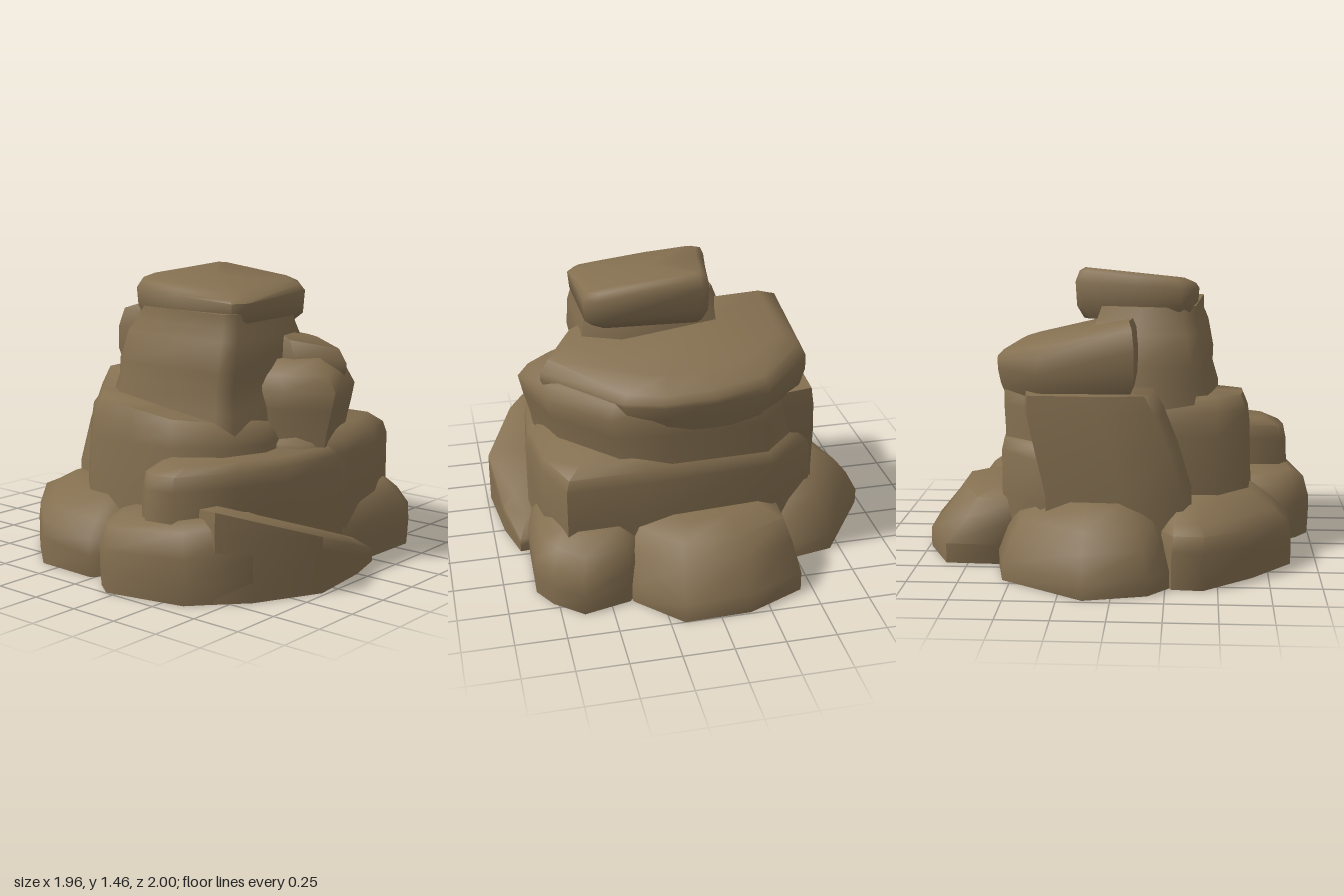
import * as THREE from 'three';
import { toCreasedNormals } from 'three/addons/utils/BufferGeometryUtils.js';

const stone = new THREE.MeshStandardMaterial({ color: 0x846f50 });
stone.name = 'brown stone';

// Boulder lofted from an [x, z] outline.
// Each ring: [y, scale, shiftX, shiftZ, slopeX, slopeZ], from bottom to top.
function boulder(name, outline, rings, crease = 1.1) {
  const n = outline.length;
  let area = 0, cx = 0, cz = 0;
  outline.forEach(([x, z], i) => {
    const [u, v] = outline[(i + 1) % n];
    area += x * v - u * z;
    cx += x / n;
    cz += z / n;
  });
  const pts = area > 0 ? [...outline].reverse() : outline;
  const pos = [], idx = [];
  for (const [y, s, dx = 0, dz = 0, tx = 0, tz = 0] of rings) {
    for (const [px, pz] of pts) {
      const x = cx + (px - cx) * s + dx, z = cz + (pz - cz) * s + dz;
      pos.push(x, Math.max(0, y + tx * x + tz * z), z);
    }
  }
  for (let r = 0; r < rings.length - 1; r++) {
    for (let i = 0; i < n; i++) {
      const a = r * n + i, b = r * n + (i + 1) % n;
      idx.push(a, b, b + n, a, b + n, a + n);
    }
  }
  // end caps
  for (const r of [0, rings.length - 1]) {
    const [y, , dx = 0, dz = 0, tx = 0, tz = 0] = rings[r];
    const c = pos.length / 3, x = cx + dx, z = cz + dz;
    pos.push(x, Math.max(0, y + tx * x + tz * z), z);
    for (let i = 0; i < n; i++) {
      const a = r * n + i, b = r * n + (i + 1) % n;
      if (r === 0) idx.push(c, b, a); else idx.push(c, a, b);
    }
  }
  const geo = new THREE.BufferGeometry();
  geo.setAttribute('position', new THREE.Float32BufferAttribute(pos, 3));
  geo.setIndex(idx);
  const mesh = new THREE.Mesh(toCreasedNormals(geo, crease), stone);
  mesh.name = name;
  return mesh;
}

export function createModel() {
  const g = new THREE.Group();
  g.name = 'rockStack';

  // tilted cap stone
  g.add(boulder('capStone',
    [[-0.12, -0.2], [-0.08, -0.23], [0.44, -0.2], [0.5, -0.14], [0.51, 0.32], [0.46, 0.39],
      [0.1, 0.4], [-0.17, 0.37], [-0.21, 0.31], [-0.17, 0.1]],
    [[1.2, 0.88], [1.26, 0.98, 0, 0, -0.05, 0], [1.37, 1, 0, 0, -0.06, -0.06],
      [1.415, 0.94, 0, 0, -0.1, -0.1], [1.435, 0.8, -0.01, -0.02, -0.1, -0.1]]));

  // upright column under the cap
  g.add(boulder('column',
    [[-0.34, 0.1], [-0.31, 0.36], [-0.22, 0.43], [0.44, 0.48], [0.5, 0.42], [0.5, -0.1],
      [0.3, -0.18], [-0.25, -0.15]],
    [[0.3, 1.1], [0.8, 1.06, 0, 0.01], [0.91, 0.99], [0.99, 1, 0.01, 0],
      [1.14, 0.94, 0.03, -0.01], [1.2, 0.86, 0.05, -0.01], [1.27, 0.82, 0.06, 0]]));

  // ledge in front of the column
  g.add(boulder('frontLedge',
    [[-0.38, 0.1], [-0.38, 0.5], [-0.22, 0.65], [0.05, 0.67], [0.32, 0.67], [0.52, 0.52],
      [0.6, 0.3], [0.55, 0]],
    [[0, 1.08], [0.35, 1.04], [0.65, 1], [0.74, 0.96, 0, 0, -0.08, 0], [0.81, 0.85, 0, 0, -0.1, 0]]));

  // broad overhanging shoulder at the back
  g.add(boulder('shoulder',
    [[-0.57, -0.38], [-0.32, -0.6], [-0.05, -0.64], [0.2, -0.63], [0.38, -0.57], [0.73, -0.18],
      [0.58, 0.05], [0, 0.06], [-0.28, 0.1], [-0.57, 0.09]],
    [[0.82, 0.88], [0.9, 0.96], [0.97, 1, 0, 0, -0.02, 0], [1.06, 1, 0, 0, -0.06, 0.1],
      [1.15, 0.94, 0, 0.01, -0.07, 0.2], [1.19, 0.78, 0, 0.05, -0.07, 0.2]]));

  // middle tier, jutting out on the left flank
  g.add(boulder('middleTier',
    [[-0.52, -0.36], [-0.3, -0.57], [0.2, -0.6], [0.45, -0.56], [0.72, -0.27], [0.82, 0.04],
      [0.62, 0.18], [0.3, 0.25], [-0.45, 0.05]],
    [[0.55, 0.98, -0.06], [0.68, 0.98, -0.04], [0.8, 1, -0.02], [0.89, 1], [0.96, 0.93, -0.01],
      [1.03, 0.78, -0.02]]));

  // lower body
  g.add(boulder('body',
    [[-0.62, -0.36], [-0.36, -0.58], [0.3, -0.63], [0.68, -0.64], [0.77, -0.4], [0.8, -0.1],
      [0.7, 0.15], [0.4, 0.3], [-0.4, 0.3], [-0.62, 0.2]],
    [[0, 1], [0.35, 1], [0.57, 1], [0.63, 0.97], [0.68, 0.85]]));

  // tall slab on the right flank
  g.add(boulder('rightSlab',
    [[-0.64, -0.33], [-0.66, 0.05], [-0.63, 0.33], [-0.58, 0.37], [-0.34, 0.37], [-0.25, 0.1], [-0.25, -0.4]],
    [[0, 1.03], [0.4, 1.0], [0.62, 0.98, 0.01, -0.06], [0.8, 0.93, 0.02, -0.12], [0.89, 0.85, 0.02, -0.15]]));

  // mid-height block wrapping the front left
  g.add(boulder('leftBlock',
    [[0.29, 0.62], [0.3, 0.84], [0.36, 0.88], [0.5, 0.86], [0.66, 0.6], [0.77, 0.33],
      [0.8, 0], [0.74, -0.3], [0.3, -0.2], [0.25, 0.3]],
    [[0, 1.03], [0.3, 1.02], [0.5, 1], [0.57, 0.97], [0.61, 0.85, 0, -0.04]]));

  // base stones around the foot
  g.add(boulder('baseLeft',
    [[0.55, 0.75], [0.7, 0.8], [0.82, 0.67], [0.98, 0.35], [0.94, 0], [0.88, -0.22], [0.7, -0.2], [0.55, 0.3]],
    [[0, 1], [0.1, 1, 0, 0, 0, 0.3], [0.145, 0.99, 0, 0, 0, 0.36], [0.18, 0.8, -0.03, 0, 0, 0.36]]));
  g.add(boulder('baseFrontLeft',
    [[0.02, 0.82], [0.1, 0.93], [0.2, 1.0], [0.61, 0.91], [0.82, 0.67], [0.75, 0.45], [0.3, 0.45], [0.05, 0.6]],
    [[0, 0.98], [0.1, 1], [0.2, 1, 0, 0, 0.03, 0], [0.3, 0.93, 0, -0.01, 0.06, 0], [0.34, 0.78, 0, -0.04, 0.06, 0]]));
  g.add(boulder('baseFrontRight',
    [[-0.8, 0.28], [-0.81, 0.43], [-0.6, 0.67], [-0.36, 0.87], [-0.02, 0.88], [0.05, 0.8],
      [0.3, 0.5], [-0.3, 0.2], [-0.6, 0.2]],
    [[0, 1], [0.1, 1, 0, 0, -0.1, 0], [0.18, 0.97, 0, 0, -0.1, 0], [0.26, 0.84, 0.02, -0.03, -0.05, 0],
      [0.36, 0.62, 0.04, -0.07]]));
  g.add(boulder('baseRight',
    [[-0.98, -0.13], [-0.9, 0.17], [-0.78, 0.27], [-0.5, 0.3], [-0.35, 0], [-0.35, -0.5],
      [-0.45, -0.59], [-0.7, -0.54]],
    [[0, 1], [0.08, 1], [0.2, 0.9, 0.03], [0.29, 0.78, 0.06], [0.38, 0.5, 0.1]]));
  g.add(boulder('baseBack',
    [[-0.45, -0.58], [-0.44, -0.86], [-0.15, -0.99], [0.18, -1.0], [0.39, -0.78], [0.45, -0.45], [-0.3, -0.4]],
    [[0, 1], [0.1, 1], [0.23, 0.94, 0, 0.09], [0.33, 0.86, 0, 0.14], [0.37, 0.6, 0, 0.2]]));
  g.add(boulder('baseBackLeft',
    [[0.25, -0.55], [0.4, -0.78], [0.64, -0.84], [0.78, -0.72], [0.85, -0.6], [0.84, -0.25],
      [0.78, 0], [0.4, -0.1]],
    [[0, 0.98], [0.1, 1], [0.19, 0.98], [0.28, 0.88, -0.02, 0.03], [0.35, 0.7, -0.04, 0.06]]));
  return g;
}
